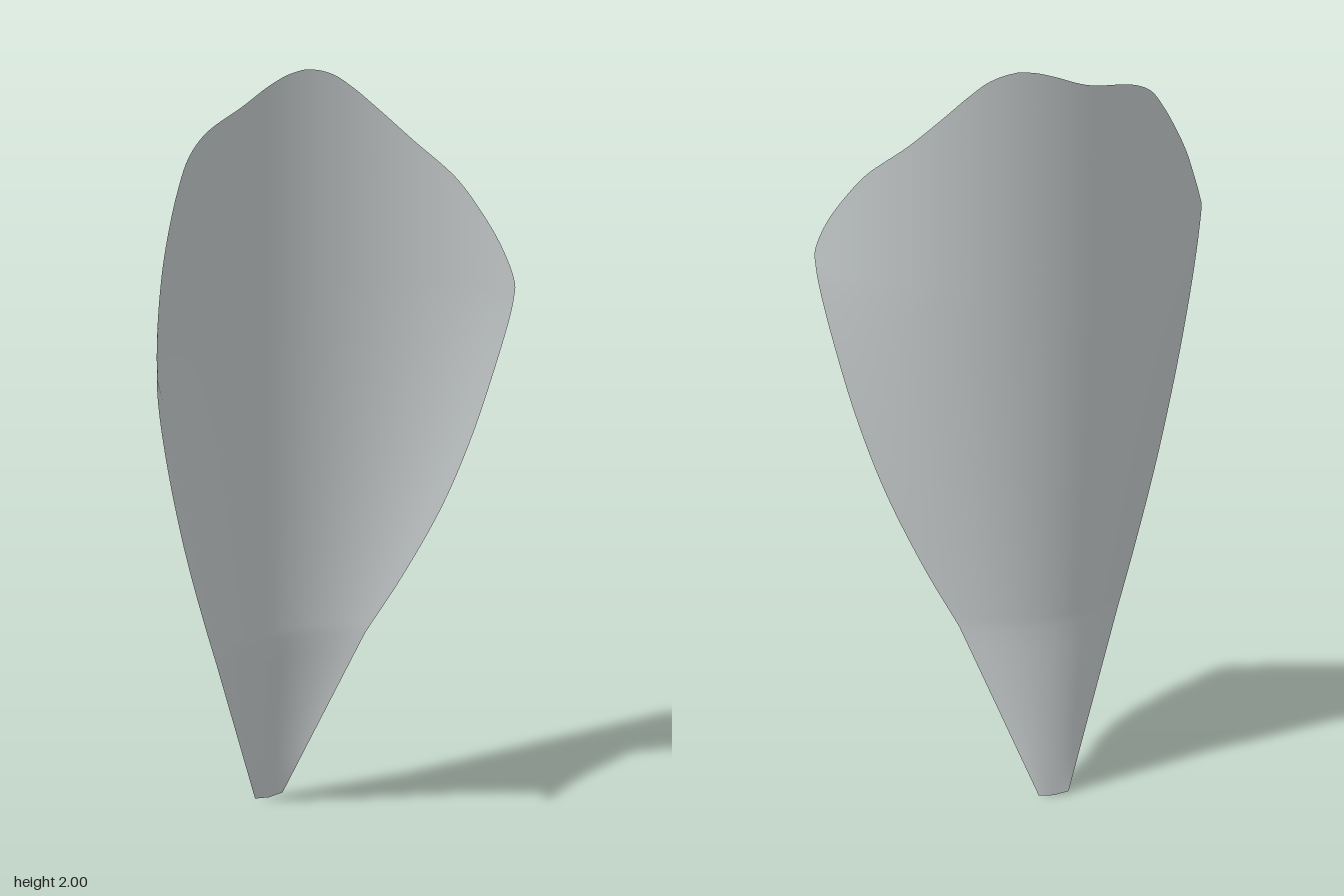
import * as THREE from 'three';

// outline rows: left x, height y, right x
const OUTLINE = [
  [-0.205, 0.45, 0.22], [-0.262, 0.6, 0.295], [-0.335, 0.8, 0.378], [-0.4, 1.0, 0.44],
  [-0.461, 1.2, 0.487], [-0.505, 1.34, 0.513], [-0.524, 1.4, 0.52], [-0.509, 1.44, 0.521], [-0.472, 1.53, 0.502],
  [-0.435, 1.62, 0.468], [-0.395, 1.7, 0.425], [-0.345, 1.79, 0.345], [-0.295, 1.86, 0.283],
  [-0.23, 1.9, 0.246], [-0.1, 1.935, 0.212], [-0.01, 1.975, 0.165], [0.04, 1.993, 0.125], [0.08, 2.0, 0.09],
].map((p) => new THREE.Vector3(...p));

const SPINE_Z = -0.148;

// the cupping is tightest near the stem and opens upward
function cupRadius(y) {
  const t = Math.min(1, (y - 0.45) / 0.95);
  return 0.345 + 0.24 * (1 - Math.pow(1 - t, 1.6));
}

function cupZ(x, y) {
  const r = cupRadius(y);
  return SPINE_Z + r - Math.sqrt(r * r - x * x);
}

// regular sheet of quads from rows of points
function sheet(rows) {
  const n = rows[0].length;
  const index = [];
  for (let j = 0; j < rows.length - 1; j++) {
    for (let i = 0; i < n - 1; i++) {
      const a = j * n + i, b = a + 1, c = a + n, d = c + 1;
      index.push(a, b, d, a, d, c);
    }
  }
  const g = new THREE.BufferGeometry();
  g.setAttribute('position', new THREE.Float32BufferAttribute(rows.flat(2), 3));
  g.setIndex(index);
  g.computeVertexNormals();
  return g;
}

export function createModel() {
  const group = new THREE.Group();
  group.name = 'petal';
  const petalGrey = new THREE.MeshStandardMaterial({ color: 0xc3c8c9, side: THREE.DoubleSide });
  petalGrey.name = 'petalGrey';

  const across = 40;
  const row = (left, right, y, zAt) => Array.from({ length: across + 1 }, (_, i) => {
    const x = left + (right - left) * i / across;
    return [x, y, zAt(x, y)];
  });

  // cupped blade, tapering straight down to a narrow flat foot
  const curve = new THREE.CatmullRomCurve3(OUTLINE, false, 'centripetal');
  const blade = curve.getPoints(102).map((p) => row(p.x, p.z, p.y, cupZ));
  const foot = row(-0.03, 0.05, 0, () => -0.19);
  foot.forEach((p) => { p[1] = 0.005 * Math.min(1, Math.abs(p[0] - 0.01) / 0.04); });
  const rows = [foot];
  for (let k = 1; k < 8; k++) {
    rows.push(foot.map((p, i) => p.map((v, c) => v + (blade[0][i][c] - v) * k / 8)));
  }
  const petal = new THREE.Mesh(sheet([...rows, ...blade]), petalGrey);
  petal.name = 'petalBlade';
  group.add(petal);

  // tiny curled lip at the right-hand tip
  const lip = new THREE.Mesh(sheet([
    [[-0.508, 1.36, 0.158], [-0.516, 1.34, 0.19]],
    [[-0.516, 1.38, 0.165], [-0.524, 1.37, 0.19]],
    [[-0.512, 1.42, 0.16], [-0.524, 1.395, 0.178]],
  ]), petalGrey);
  lip.name = 'curledTip';
  group.add(lip);

  return group;
}
